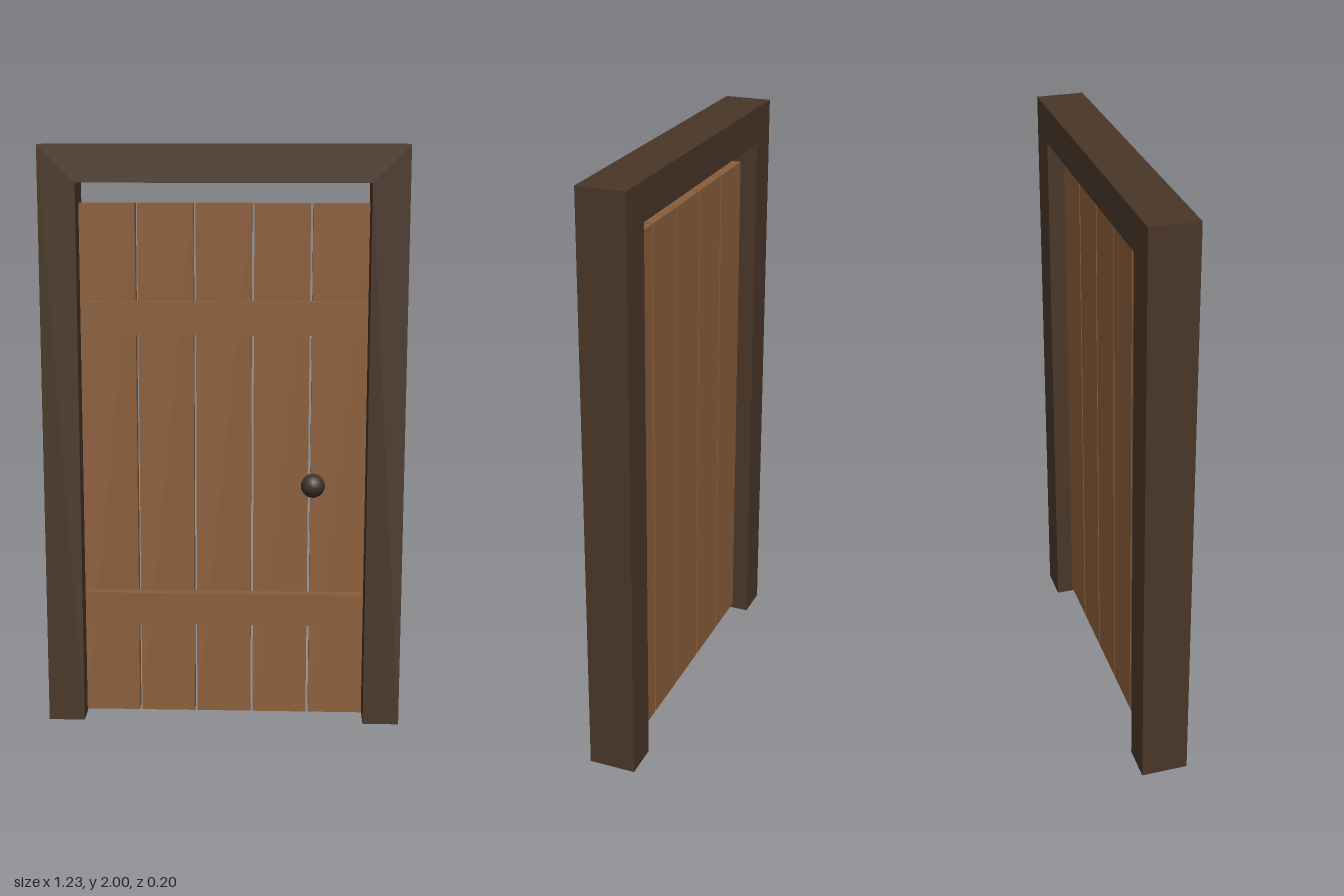
import * as THREE from 'three';

export function createModel() {
  const door = new THREE.Group();
  door.name = 'door';

  const material = (name, color) => {
    const m = new THREE.MeshStandardMaterial({ color });
    m.name = name;
    return m;
  };
  const darkWood = material('dark wood', 0x4a3728);
  const plankWood = material('plank wood', 0x8b5e3a);
  const iron = material('dark iron', 0x3d3228);

  const add = (name, geometry, mat, x, y, z) => {
    const mesh = new THREE.Mesh(geometry, mat);
    mesh.name = name;
    mesh.position.set(x, y, z);
    door.add(mesh);
    return mesh;
  };

  const midZ = -0.02;

  // Door frame: one arch-shaped outline, open at the foot
  const outline = new THREE.Shape([
    [-0.615, 0], [-0.49, 0], [-0.49, 1.875], [0.49, 1.875],
    [0.49, 0], [0.615, 0], [0.615, 2], [-0.615, 2],
  ].map(([x, y]) => new THREE.Vector2(x, y)));
  const frameDepth = 0.16;
  add('frame', new THREE.ExtrudeGeometry(outline, { depth: frameDepth, bevelEnabled: false }),
    darkWood, 0, 0, midZ - frameDepth / 2);

  // Five upright planks with narrow gaps
  const pitch = 0.1962, gap = 0.008, bottom = 0.02, top = 1.806, thick = 0.045;
  for (let i = -2; i <= 2; i++) {
    add(`plank${i + 3}`, new THREE.BoxGeometry(pitch - gap, top - bottom, thick),
      plankWood, i * pitch, (top + bottom) / 2, midZ);
  }

  // Cross battens on the front
  const plankFront = midZ + thick / 2, battenDepth = 0.04;
  for (const [name, y] of [['lowerBatten', 0.408], ['upperBatten', 1.425]]) {
    add(name, new THREE.BoxGeometry(0.962, 0.112, battenDepth),
      plankWood, 0, y, plankFront + battenDepth / 2);
  }

  // Round knob on a short hidden stem
  add('knob', new THREE.SphereGeometry(0.041, 16, 12), iron, 0.306, 0.857, 0.059);
  const stem = new THREE.CylinderGeometry(0.012, 0.012, 0.04, 10);
  add('knobStem', stem, iron, 0.306, 0.857, plankFront + 0.02).rotation.x = Math.PI / 2;

  return door;
}
